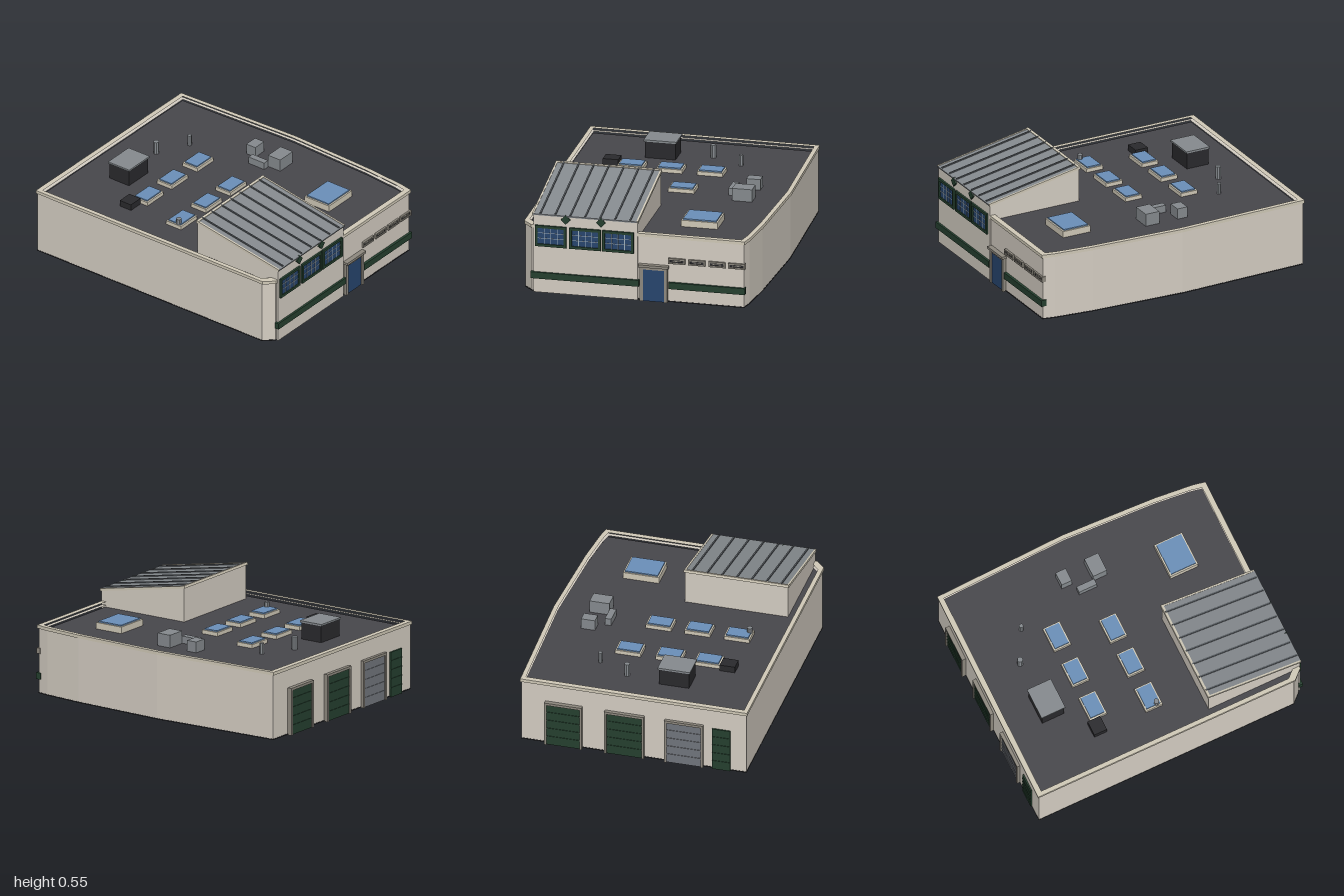
import * as THREE from 'three';

const mat = (color) => new THREE.MeshStandardMaterial({ color, flatShading: true });
const M = {
  wall: mat(0xd6cfc4), trim: mat(0xd2cbb9), roof: mat(0x48474c), dark: mat(0x2a2a2d),
  metal: mat(0x868b8f), seam: mat(0x5c6166), green: mat(0x25402f), glass: mat(0x27456f),
  sky: mat(0x6b90ba), frame: mat(0x8f8a80), shutter: mat(0x72767d), bar: mat(0x9fb0bd),
};

// Footprint as [along front wall, outward from front wall]; the right wall bows slightly
const FOOT = [[-0.636, -0.778], [0.626, -0.767], [0.65, -0.015], [0.625, 0.523],
  [0.603, 0.742], [0.589, 0.81], [-0.587, 0.803], [-0.636, 0.75]];
const outline = (s, Type = THREE.Shape) => new Type(FOOT.map(([u, v]) => new THREE.Vector2(u * s, -v * s)));

export function createModel() {
  const root = new THREE.Group();
  root.name = 'building';
  const site = new THREE.Group();
  site.name = 'rotatedSite';
  site.rotation.y = Math.PI / 4;
  root.add(site);

  const add = (name, geo, material, parent = site) => {
    const m = new THREE.Mesh(geo, material);
    m.name = name;
    parent.add(m);
    return m;
  };
  // Box from its bottom centre
  const box = (name, w, h, d, x, y, z, material, parent) => {
    const m = add(name, new THREE.BoxGeometry(w, h, d), material, parent);
    m.position.set(x, y + h / 2, z);
    return m;
  };
  const slab = (name, scale, y0, y1, material, holeScale) => {
    const s = outline(scale);
    if (holeScale) s.holes.push(outline(holeScale, THREE.Path));
    const g = new THREE.ExtrudeGeometry(s, { depth: y1 - y0, bevelEnabled: false });
    g.rotateX(-Math.PI / 2);
    g.translate(0, y0, 0);
    return add(name, g, material);
  };

  // Main hall
  slab('floor', 0.993, 0.002, 0.008, M.dark);
  slab('walls', 0.991, 0.008, 0.362, M.wall, 0.96);
  slab('parapetCap', 1, 0.362, 0.38, M.trim, 0.962);
  slab('flatRoof', 0.97, 0.335, 0.35, M.roof);

  // Raised corner block with a sloping roof
  const F = 0.807, B = 0.265, W = 0.573, HB = 0.54, HF = 0.44;
  const profile = new THREE.Shape([[B, 0], [F, 0], [F, HF], [B, HB]].map(([x, y]) => new THREE.Vector2(x, y)));
  const block = new THREE.ExtrudeGeometry(profile, { depth: W, bevelEnabled: false });
  block.rotateY(-Math.PI / 2);
  add('raisedBlock', block, M.wall);

  const slope = new THREE.Group();
  slope.name = 'slopedRoof';
  slope.position.set(-W / 2, (HB + HF) / 2, (F + B) / 2);
  slope.rotation.x = Math.atan2(HB - HF, F - B);
  site.add(slope);
  const L = Math.hypot(HB - HF, F - B);
  box('roofPanel', W, 0.008, L + 0.01, 0, 0, 0.002, M.metal, slope);
  for (let i = 0; i < 7; i++) {
    box('roofSeam', 0.008, 0.007, L, -W / 2 + 0.04 + i * (W - 0.08) / 6, 0.007, 0, M.seam, slope);
  }
  for (const s of [-1, 1]) box('vergeTrim', 0.01, 0.014, L + 0.01, s * W / 2, -0.004, 0, M.trim, slope);
  box('ridgeTrim', W + 0.01, 0.015, 0.014, 0, -0.003, -L / 2, M.trim, slope);

  // Large front windows
  const bigWindow = (u) => {
    const g = new THREE.Group();
    g.name = 'frontWindow';
    g.position.set(u, 0.264, F);
    site.add(g);
    const w = 0.172, h = 0.118, t = 0.014;
    box('glass', w - t, h - t, 0.008, 0, t / 2, 0, M.glass, g);
    for (const s of [-1, 1]) {
      box('frameSide', t, h, 0.022, s * (w - t) / 2, 0, 0, M.green, g);
      box('frameRail', w, t, 0.022, 0, s < 0 ? 0 : h - t, 0, M.green, g);
    }
    for (const i of [-1, 0, 1]) box('mullion', 0.003, h - 2 * t, 0.012, i * 0.036, t, 0, M.bar, g);
    for (const y of [0.044, 0.074]) box('glazingBar', w - 2 * t, 0.003, 0.012, 0, y, 0, M.bar, g);
  };
  [-0.476, -0.287, -0.106].forEach(bigWindow);

  // Diamond ornaments
  for (const u of [-0.394, -0.2]) {
    const d = box('diamond', 0.037, 0.037, 0.018, u, 0.405, F, M.green);
    d.rotation.z = Math.PI / 4;
  }

  // Green bands
  box('bandLeft', 0.594, 0.036, 0.024, -0.289, 0.08, F, M.green);
  box('bandRight', 0.42, 0.036, 0.03, 0.382, 0.08, F - 0.006, M.green);

  // Entrance door
  box('door', 0.12, 0.18, 0.02, 0.09, 0, F - 0.006, M.glass);
  for (const s of [-1, 1]) box('doorJamb', 0.018, 0.19, 0.034, 0.09 + s * 0.067, 0, F - 0.006, M.frame);
  box('doorHead', 0.152, 0.014, 0.034, 0.09, 0.18, F - 0.006, M.frame);
  box('doorCanopy', 0.165, 0.014, 0.046, 0.09, 0.194, F - 0.002, M.frame);

  // Narrow front windows
  for (const u of [0.216, 0.326, 0.437, 0.545]) {
    box('slotWindow', 0.08, 0.018, 0.014, u, 0.229, F - 0.006, M.dark);
    for (const y of [0.222, 0.245]) box('slotRail', 0.092, 0.008, 0.024, u, y, F - 0.006, M.frame);
    for (const s of [-1, 1]) box('slotSide', 0.008, 0.024, 0.024, u + s * 0.042, 0.225, F - 0.006, M.frame);
    box('slotBar', 0.05, 0.004, 0.018, u, 0.236, F - 0.006, M.frame);
  }

  // Rear loading doors
  const BK = -0.768;
  const rearDoors = [[0.384, 0.207, M.green], [0.045, 0.22, M.green], [-0.286, 0.215, M.shutter], [-0.492, 0.121, M.green]];
  for (const [u, w, m] of rearDoors) {
    box('rearDoor', w - 0.02, 0.25, 0.02, u, 0, BK, m);
    for (let y = 0.05; y < 0.24; y += 0.05) box('doorRib', w - 0.02, 0.004, 0.026, u, y, BK, m);
    if (w < 0.2) continue;
    for (const s of [-1, 1]) box('rearJamb', 0.012, 0.26, 0.036, u + s * (w - 0.012) / 2, 0, BK, M.frame);
    box('rearLintel', w, 0.014, 0.036, u, 0.248, BK, M.frame);
  }

  // Skylights
  const skylight = (u, v, w, d, top) => {
    box('skylightCurb', w, top - 0.352, d, u, 0.345, v, M.trim);
    box('skylightGlass', w - 0.018, 0.012, d - 0.018, u, top - 0.012, v, M.sky);
  };
  for (const u of [0.148, -0.076, -0.29]) skylight(u, -0.287, 0.142, 0.1, 0.378);
  for (const u of [0.06, -0.155, -0.374]) skylight(u, 0.004, 0.142, 0.1, 0.378);
  skylight(0.283, 0.487, 0.2, 0.165, 0.393);

  // Rooftop equipment
  box('plantUnit', 0.168, 0.1, 0.13, -0.173, 0.345, -0.506, M.dark);
  box('plantLid', 0.18, 0.01, 0.142, -0.173, 0.443, -0.506, M.metal);
  box('lowUnit', 0.085, 0.04, 0.075, -0.408, 0.345, -0.317, M.dark);
  box('coolingUnit', 0.11, 0.075, 0.082, 0.408, 0.345, 0.069, M.metal);
  box('smallUnit', 0.077, 0.065, 0.06, 0.424, 0.345, -0.113, M.metal);
  box('duct', 0.035, 0.045, 0.105, 0.332, 0.345, -0.021, M.metal);
  const pipes = [[0.098, -0.53, 0.016, 0.422], [0.272, -0.439, 0.012, 0.41], [-0.427, 0.026, 0.015, 0.403]];
  for (const [u, v, r, top] of pipes) {
    const p = add('ventPipe', new THREE.CylinderGeometry(r, r, top - 0.345, 8), M.metal);
    p.position.set(u, (top + 0.345) / 2, v);
  }
  return root;
}
